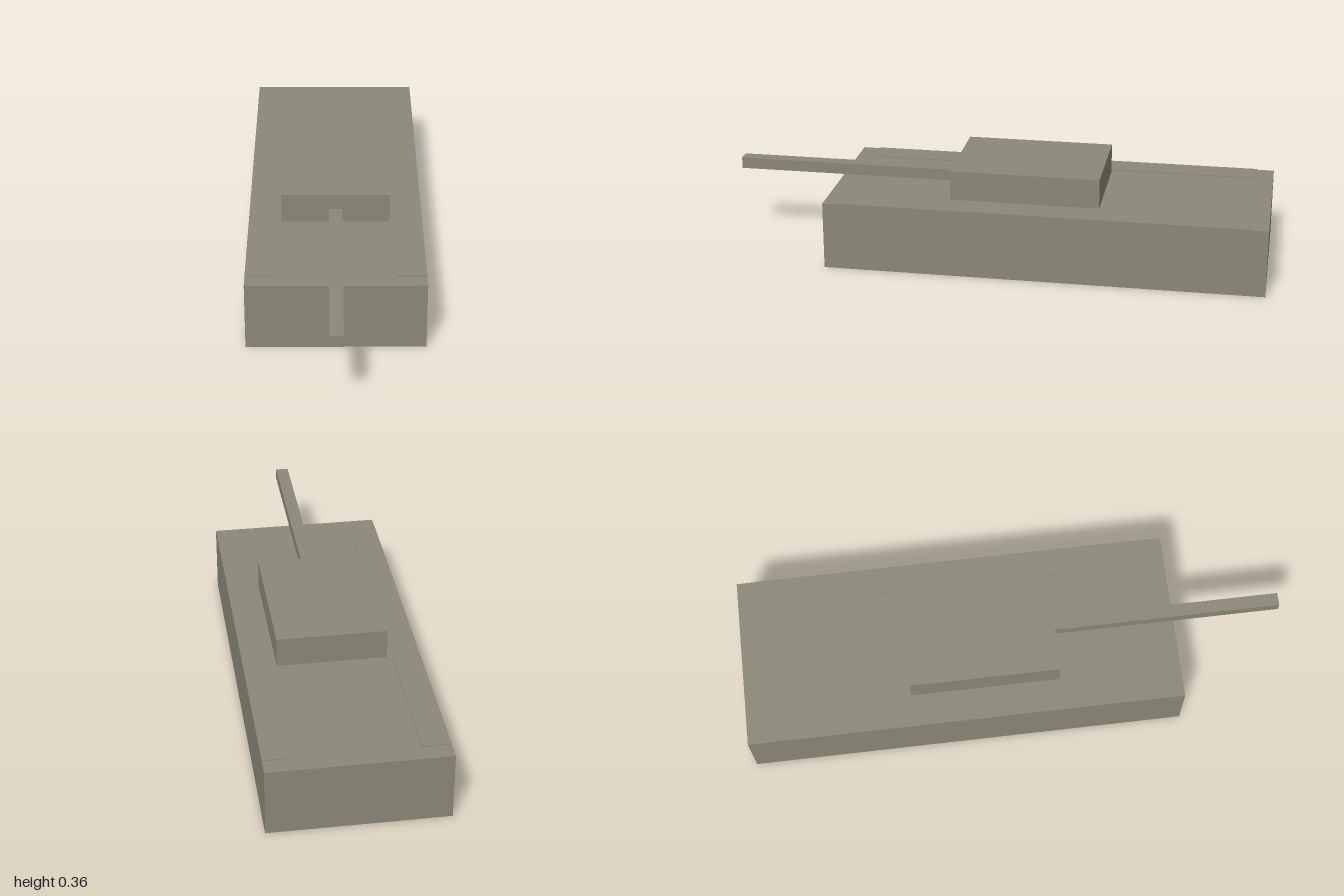
import * as THREE from 'three';

export function createModel() {
  const group = new THREE.Group();
  const material = new THREE.MeshStandardMaterial({ color: 0x8c8878 });

  // Box given by its min and max corners
  function box(name, [x0, y0, z0], [x1, y1, z1]) {
    const mesh = new THREE.Mesh(new THREE.BoxGeometry(x1 - x0, y1 - y0, z1 - z0), material);
    mesh.position.set((x0 + x1) / 2, (y0 + y1) / 2, (z0 + z1) / 2);
    mesh.name = name;
    group.add(mesh);
  }

  box('hull', [-0.317, 0, -1], [0.317, 0.25, 0.607]);
  box('turret', [-0.198, 0.25, -0.39], [0.198, 0.36, 0.157]);
  box('gunBarrel', [-0.024, 0.26, 0.157], [0.024, 0.302, 1]);

  // Thin track covers, just proud of the deck and flush with the hull sides
  box('leftTrackCover', [0.216, 0.245, -0.935], [0.317, 0.253, 0.545]);
  box('rightTrackCover', [-0.317, 0.245, -0.935], [-0.216, 0.253, 0.545]);

  return group;
}
